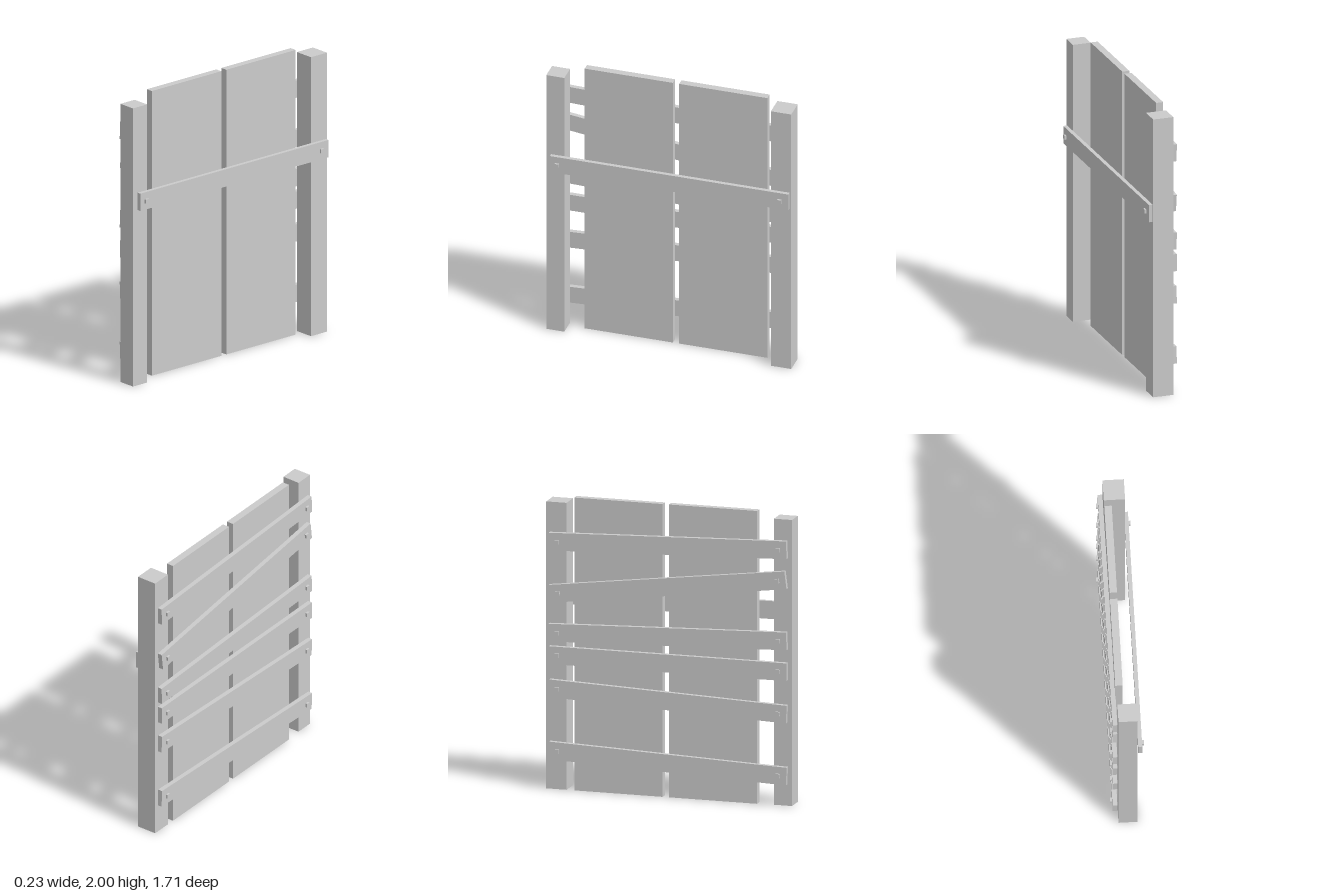
import * as THREE from 'three';

const material = new THREE.MeshStandardMaterial({ color: 0xcccccc, flatShading: true });

// Box given by its centre and size
function box(name, [x, y, z], [w, h, d]) {
  const mesh = new THREE.Mesh(new THREE.BoxGeometry(w, h, d), material);
  mesh.name = name;
  mesh.position.set(x, y, z);
  return mesh;
}

// Slat along z with a square nail head near each end, on the side given by out (+1 or -1)
function slat(name, out, position, size, nailZ) {
  const group = new THREE.Group();
  group.name = name;
  group.position.set(...position);
  group.add(box(name + 'Board', [0, 0, 0], size));
  for (const z of nailZ) {
    group.add(box(name + 'Nail', [out * (size[0] / 2 + 0.003), 0, z], [0.022, 0.028, 0.028]));
  }
  return group;
}

export function createModel() {
  const model = new THREE.Group();
  model.name = 'plankPanel';

  // Two upright posts
  model.add(box('frontPost', [0.003, 0.977, 0.793], [0.126, 1.954, 0.126]));
  model.add(box('backPost', [0.003, 0.98, -0.785], [0.142, 1.96, 0.142]));

  // Two wide planks between the posts
  model.add(box('frontPlank', [-0.043, 1, 0.307], [0.05, 2, 0.615]));
  model.add(box('backPlank', [-0.043, 1, -0.352], [0.05, 2, 0.615]));

  // Single crossbar on the left side
  model.add(slat('crossbar', 1, [0.087, 1.295, -0.012], [0.027, 0.122, 1.665], [0.782, -0.771]));

  // Crooked slats on the right side: centre height, rise towards +z
  const slats = [
    [1.724, 0.035], [1.443, 0.127], [1.102, 0.035],
    [0.92, 0], [0.662, -0.038], [0.238, -0.037],
  ];
  for (const [y, rise] of slats) {
    const s = slat('slat', -1, [-0.084, y, 0], [0.032, 0.121, 1.656], [0.77, -0.77]);
    s.rotation.set(-Math.atan(rise), 0.003, 0);
    model.add(s);
  }
  return model;
}
